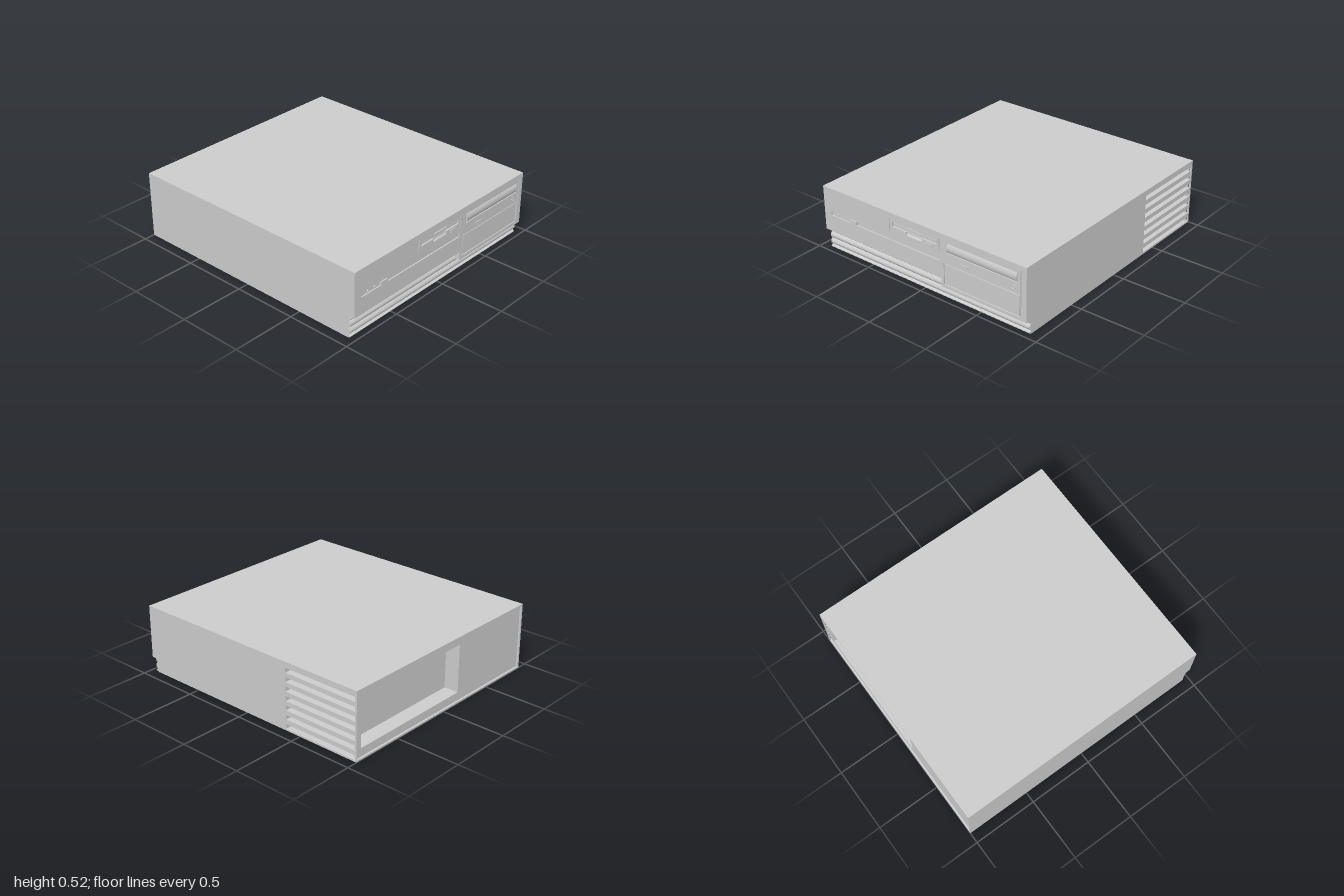
import * as THREE from 'three';

const W = 0.917, H = 0.517, FACE = 0.993, STEP = 0.935, BACK = -0.985;

export function createModel() {
  const model = new THREE.Group();
  model.name = 'desktopComputerCase';
  const mat = new THREE.MeshStandardMaterial({ color: 0xcccccc, flatShading: true });

  const add = (name, geo) => {
    const mesh = new THREE.Mesh(geo, mat);
    mesh.name = name;
    model.add(mesh);
    return mesh;
  };
  // Box given by its limits on each axis
  const box = (name, x0, x1, y0, y1, z0, z1) => add(name,
    new THREE.BoxGeometry(x1 - x0, y1 - y0, z1 - z0)
      .translate((x0 + x1) / 2, (y0 + y1) / 2, (z0 + z1) / 2));
  const outline = pts => pts.map(p => new THREE.Vector2(...p));
  const rect = (x0, x1, y0, y1) => outline([[x0, y0], [x1, y0], [x1, y1], [x0, y1]]);
  // Plate facing z with cut-outs
  const plate = (name, pts, holes, z0, z1) => {
    const shape = new THREE.Shape(pts);
    shape.holes = holes.map(h => new THREE.Path(h));
    return add(name, new THREE.ExtrudeGeometry(shape,
      { depth: z1 - z0, bevelEnabled: false }).translate(0, 0, z0));
  };
  // Shape drawn in (z, y), extruded from x1 back to x0
  const sideways = (name, shape, x0, x1) => add(name,
    new THREE.ExtrudeGeometry(shape, { depth: x1 - x0, bevelEnabled: false, curveSegments: 6 })
      .rotateY(-Math.PI / 2).translate(x1, 0, 0));

  // Sheet metal cover and solid core
  const T = 0.012, CORE = 0.867;
  box('topCover', -W, W, H - T, H, -1, STEP);
  box('basePlate', -W, W, 0, T, -1, STEP);
  box('rightSideCover', -W, -W + T, T, H - T, -1, STEP);
  box('core', -W + T, CORE, T, H - T, -0.87, STEP);

  // Left side with seven ventilation slots
  const sideWall = (name, x0, x1, zBack, slotBack, y0, y1) => {
    const shape = new THREE.Shape(rect(zBack, STEP, y0, y1));
    for (let i = 0; i < 7; i++) {
      const y = 0.014 + i * 0.0705;
      shape.holes.push(new THREE.Path(rect(slotBack, -0.375, y, y + 0.036)));
    }
    sideways(name, shape, x0, x1);
  };
  sideWall('leftSideCover', W - T, W, -1, -0.99, 0, H);
  sideWall('ventChannels', CORE, W - T, BACK, -0.975, 0.005, H - 0.005);

  // Rear panel with its connector recess
  plate('rearPanel', rect(-W + T, CORE, T, H - T), [rect(-0.18, 0.856, 0.075, 0.445)], BACK, -0.87);

  // Stepped front bezel with all its openings
  const grooves = [
    [-0.278, -0.271, 0.365, 0.472], [0.176, 0.183, 0.365, 0.472], [0.868, 0.874, 0.13, 0.475]];
  const strip = [-0.85, 0.178, 0.301, 0.335];
  const tray = [0.245, 0.843, 0.382, 0.457];
  const bay = [0.215, 0.863, 0.13, 0.296];
  const floppySlot = outline([
    [-0.25, 0.414], [-0.118, 0.414], [-0.118, 0.39], [0.022, 0.39], [0.022, 0.414],
    [0.156, 0.414], [0.156, 0.449], [0.022, 0.449], [0.022, 0.459], [-0.118, 0.459],
    [-0.118, 0.449], [-0.25, 0.449]]);
  plate('frontBezel',
    outline([[-W, 0.17], [0.19, 0.17], [0.19, 0.105], [W, 0.105], [W, H], [-W, H]]),
    [...grooves, strip, tray, bay].map(r => rect(...r)).concat([floppySlot]), STEP, FACE);
  grooves.forEach(g => box('grooveFloor', ...g, STEP, FACE - 0.012));

  // Indicator strip with two lights and the power button
  box('stripFloor', ...strip, STEP, FACE - 0.01);
  for (const x of [-0.783, -0.716]) {
    add('indicatorLight', new THREE.CylinderGeometry(0.007, 0.007, 0.012, 12)
      .rotateX(Math.PI / 2).translate(x, 0.318, FACE - 0.006));
  }
  box('powerButton', -0.66, -0.596, 0.305, 0.332, STEP, 0.999);

  // Floppy drive: recessed floor, sloping finger scoop, disk slit and eject button
  box('floppyFloor', -0.25, 0.156, 0.39, 0.459, STEP, FACE - 0.014);
  const scoop = new THREE.Shape();
  scoop.moveTo(STEP, 0.39);
  scoop.lineTo(FACE - 0.001, 0.39);
  scoop.quadraticCurveTo(FACE - 0.013, 0.395, FACE - 0.013, 0.425);
  scoop.lineTo(STEP, 0.425);
  sideways('fingerScoop', scoop, -0.118, 0.022);
  box('diskFlap', -0.243, 0.149, 0.421, 0.442, STEP, FACE - 0.006);
  box('ejectButton', 0.065, 0.12, 0.378, 0.402, STEP, 0.999);

  // Disc drive: bowed tray front, button and headphone socket
  box('trayFloor', ...tray, STEP, FACE - 0.014);
  const bow = new THREE.Shape();
  bow.moveTo(STEP, 0.387);
  bow.lineTo(FACE - 0.003, 0.387);
  bow.quadraticCurveTo(1.01, 0.42, FACE - 0.003, 0.453);
  bow.lineTo(STEP, 0.453);
  sideways('discTray', bow, 0.25, 0.838);
  box('discButton', 0.358, 0.426, 0.327, 0.341, STEP, 0.998);
  box('discButtonMark', 0.378, 0.406, 0.33, 0.338, STEP, 1);
  add('headphoneSocket', new THREE.TorusGeometry(0.016, 0.003, 6, 16).translate(0.81, 0.34, FACE));

  // Blank drive bay cover
  box('bayFloor', ...bay, STEP, FACE - 0.012);
  box('bayCover', 0.221, 0.857, 0.136, 0.29, STEP, FACE - 0.001);

  // Ribbed lower front
  const ribs = new THREE.Shape();
  ribs.moveTo(STEP - 0.01, 0.002);
  ribs.lineTo(0.95, 0.002);
  const valleys = [0.002, 0.025, 0.076, 0.128, 0.17];
  for (let i = 1; i < valleys.length; i++) {
    const a = valleys[i - 1], b = valleys[i], e = 0.006;
    ribs.lineTo(0.95, a + e);
    ribs.quadraticCurveTo(0.968, (a + b) / 2, 0.95, b - e);
    ribs.lineTo(0.943, b);
  }
  ribs.lineTo(STEP - 0.01, 0.17);
  sideways('ribbedSkirt', ribs, -W + 0.001, W - 0.001);

  return model;
}
